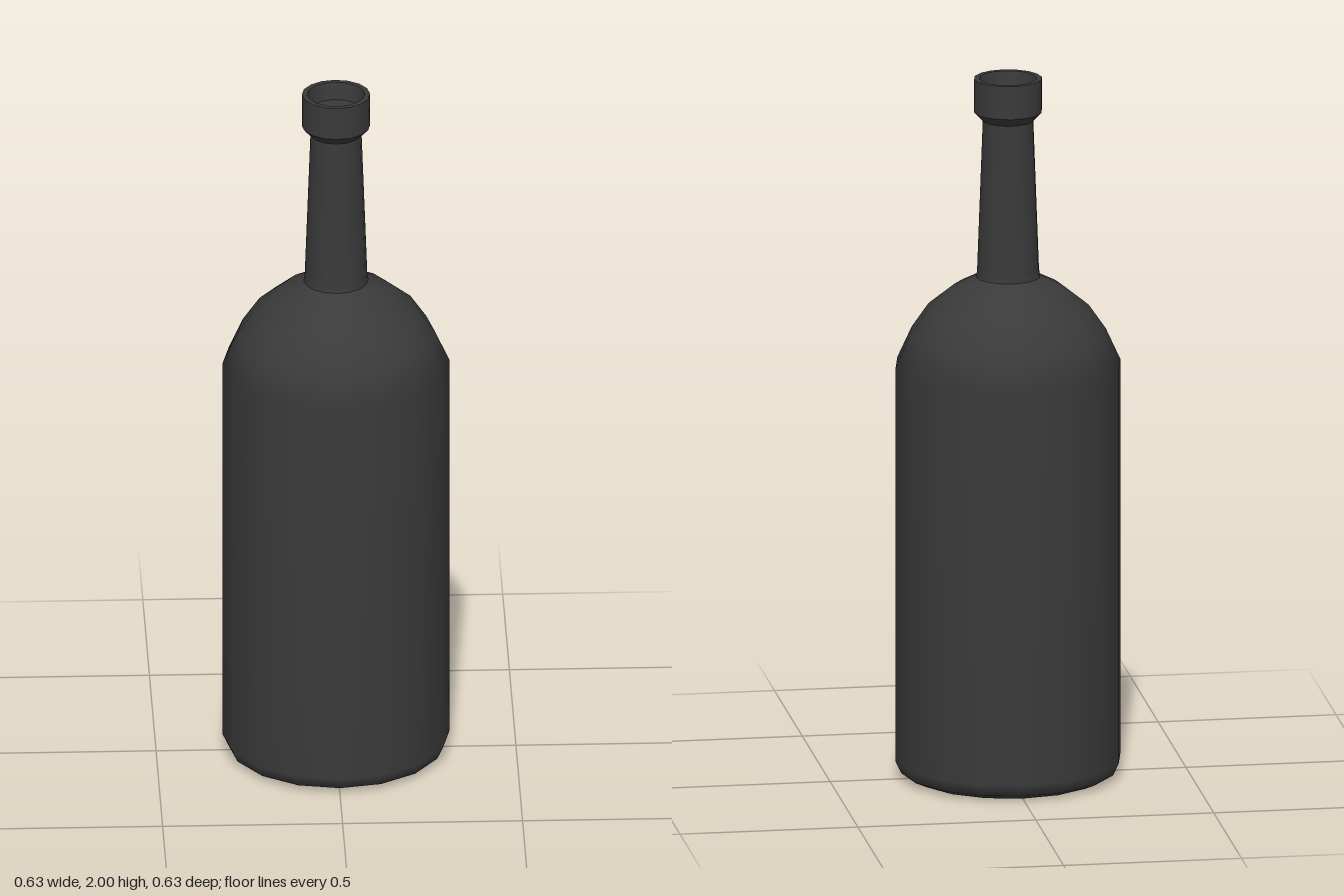
import * as THREE from 'three';

const SIDES = 16;
const glass = new THREE.MeshStandardMaterial({ color: 0x3a3a3a, side: THREE.DoubleSide });

// Turned part: profile points are [radius, height], listed bottom to top on the outside
function turned(name, profile) {
  const points = profile.map(([r, y]) => new THREE.Vector2(r, y));
  const mesh = new THREE.Mesh(new THREE.LatheGeometry(points, SIDES), glass);
  mesh.name = name;
  return mesh;
}

export function createModel() {
  const bottle = new THREE.Group();
  bottle.name = 'bottle';
  bottle.add(
    // Flat underside
    turned('base', [[0, 0], [0.265, 0]]),
    // Rounded heel, straight wall and domed shoulder
    turned('body', [
      [0.265, 0], [0.3, 0.016], [0.316, 0.05], [0.316, 1.18],
      [0.275, 1.27], [0.227, 1.34], [0.153, 1.4], [0.09, 1.432],
    ]),
    // Tapering neck
    turned('neck', [[0.09, 1.432], [0.087, 1.45], [0.071, 1.88]]),
    // Collar: sloped underside, upright band, flat rim
    turned('collarUnderside', [[0.071, 1.88], [0.095, 1.905]]),
    turned('collarBand', [[0.095, 1.905], [0.095, 2]]),
    turned('rim', [[0.095, 2], [0.08, 2]]),
    // Shallow recess in the mouth
    turned('mouthWall', [[0.08, 2], [0.073, 1.95]]),
    turned('mouthFloor', [[0.073, 1.95], [0, 1.95]]),
  );
  return bottle;
}
